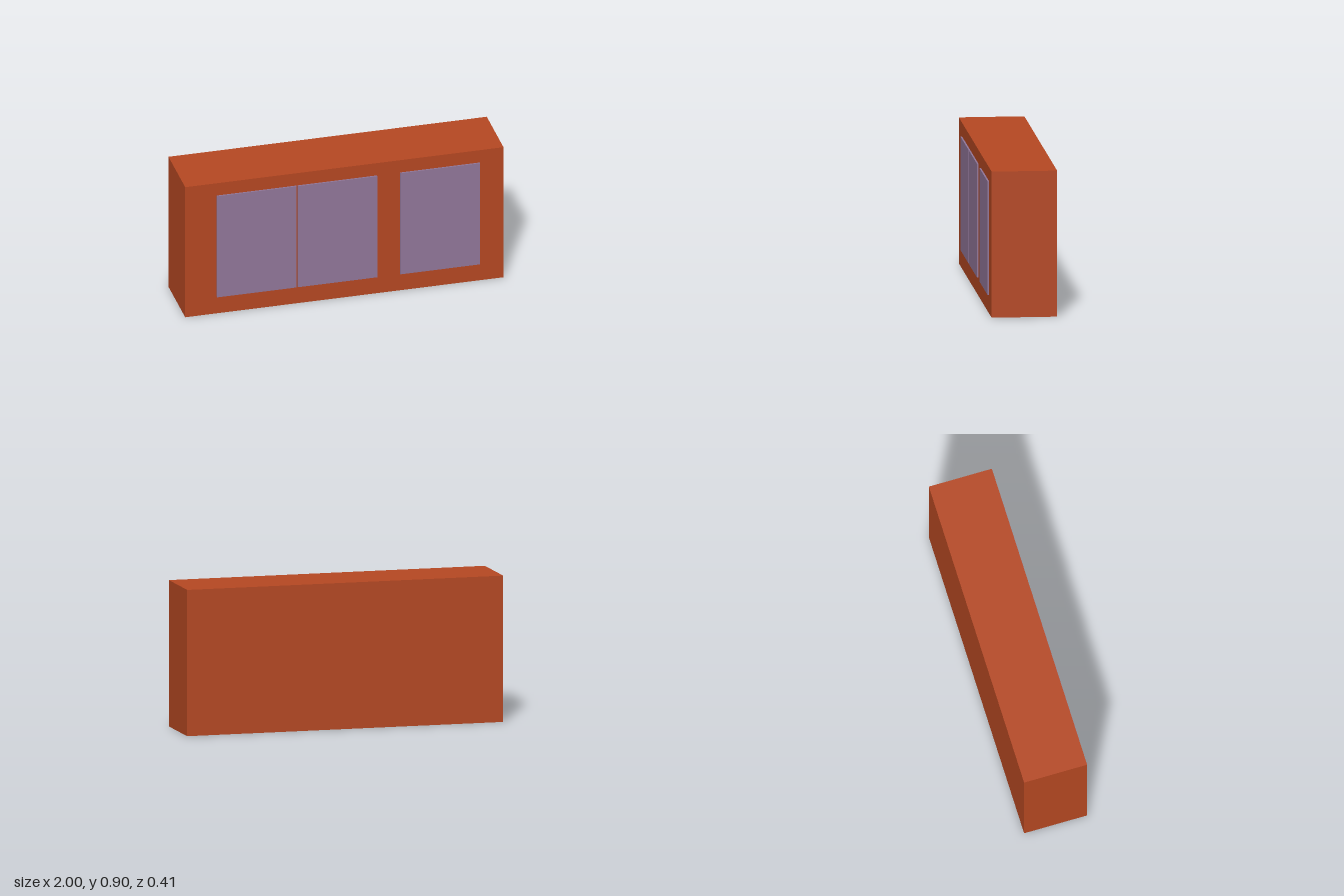
import * as THREE from 'three';

export function createModel() {
  const group = new THREE.Group();
  const rust = new THREE.MeshStandardMaterial({ color: 0xb64822 });
  rust.name = 'rust casing';
  const mauve = new THREE.MeshStandardMaterial({ color: 0x92779a });
  mauve.name = 'mauve panel';

  function addBox(name, material, [w, h, d], [x, y, z]) {
    const mesh = new THREE.Mesh(new THREE.BoxGeometry(w, h, d), material);
    mesh.name = name;
    mesh.position.set(x, y, z);
    group.add(mesh);
  }

  // Solid casing
  addBox('casing', rust, [2, 0.9, 0.4], [0, 0.45, -0.005]);

  // Thin front panels: a close pair and a separate one
  const panels = { rightPanel: -0.552, middlePanel: -0.045, leftPanel: 0.6 };
  for (const [name, x] of Object.entries(panels)) {
    addBox(name, mauve, [0.5, 0.7, 0.0099], [x, 0.465, 0.2]);
  }
  return group;
}
